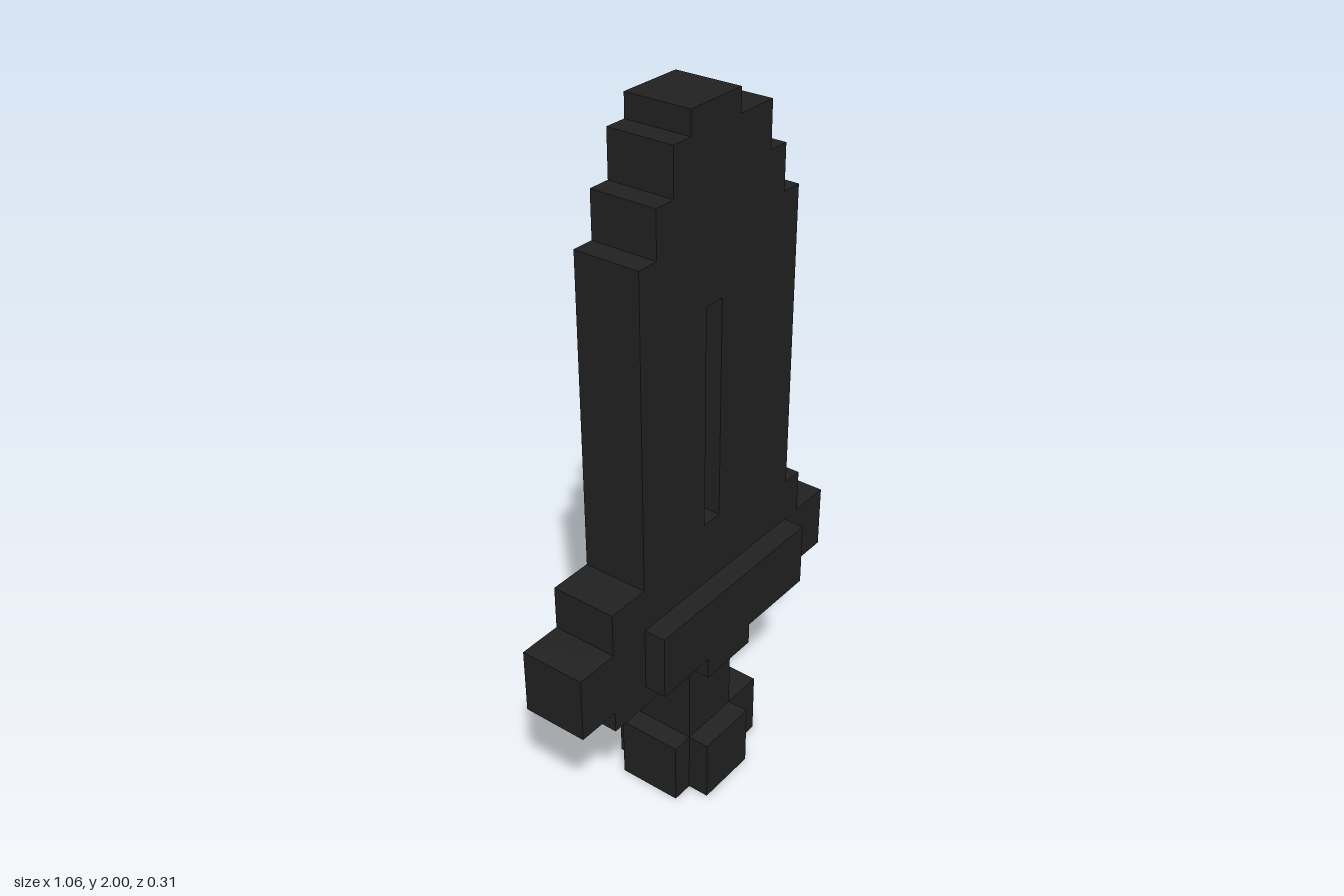
import * as THREE from 'three';

const U = 1 / 16; // block unit: the sword is 32 units tall

const black = new THREE.MeshStandardMaterial({ color: 0x222222 });
black.name = 'black';
const red = new THREE.MeshStandardMaterial({ color: 0xb8424a });
red.name = 'red';

const scaled = (points) => points.map(([x, y]) => new THREE.Vector2(x * U, y * U));

// Extrude an outline (in units), centred on its extrusion axis.
function slab(name, points, depth, hole) {
  const shape = new THREE.Shape(scaled(points));
  if (hole) shape.holes.push(new THREE.Path(scaled(hole)));
  const geometry = new THREE.ExtrudeGeometry(shape, { depth: depth * U, bevelEnabled: false });
  geometry.translate(0, 0, -depth * U / 2);
  const mesh = new THREE.Mesh(geometry, black);
  mesh.name = name;
  return mesh;
}

// Box from its minimum and maximum corners (in units).
function block(name, min, max, material = black) {
  const size = max.map((v, i) => (v - min[i]) * U);
  const mesh = new THREE.Mesh(new THREE.BoxGeometry(...size), material);
  mesh.position.set(...max.map((v, i) => (v + min[i]) * U / 2));
  mesh.name = name;
  return mesh;
}

export function createModel() {
  const sword = new THREE.Group();
  sword.name = 'sword';

  // Stepped blade with a slot, and a glowing core recessed inside it
  sword.add(slab('blade', [
    [-4.5, 13], [5.5, 13], [5.5, 27], [4.5, 27], [4.5, 29], [3.5, 29], [3.5, 31],
    [1.5, 31], [1.5, 32], [-1.5, 32], [-1.5, 31], [-2.5, 31], [-2.5, 29],
    [-3.5, 29], [-3.5, 27], [-4.5, 27],
  ], 3, [[-0.5, 14], [-0.5, 24], [0.5, 24], [0.5, 14]]));
  sword.add(block('bladeCore', [-0.5, 14, -0.5], [0.5, 24, 0.5], red));

  // Cross guard with side arms
  sword.add(slab('guard', [
    [-6.5, 7], [6.5, 7], [6.5, 8], [8.5, 8], [8.5, 11], [6.5, 11], [6.5, 13],
    [-6.5, 13], [-6.5, 11], [-8.5, 11], [-8.5, 8], [-6.5, 8],
  ], 3));

  // Raised T-shaped plates on both faces of the guard
  for (const side of [1, -1]) {
    const plate = slab(side > 0 ? 'frontGuardPlate' : 'backGuardPlate', [
      [-1.5, 7], [1.5, 7], [1.5, 8], [5.5, 8], [5.5, 11], [-4.5, 11], [-4.5, 8], [-1.5, 8],
    ], 1);
    plate.position.z = side * 2 * U;
    sword.add(plate);
  }

  sword.add(block('grip', [-1.5, 3, -1.5], [1.5, 7, 1.5]));

  // Cross-shaped pommel, extruded upwards
  const pommel = slab('pommel', [
    [-2.5, -1.5], [-1.5, -1.5], [-1.5, -2.5], [1.5, -2.5], [1.5, -1.5], [3.5, -1.5],
    [3.5, 1.5], [1.5, 1.5], [1.5, 2.5], [-1.5, 2.5], [-1.5, 1.5], [-2.5, 1.5],
  ], 3);
  pommel.rotation.x = -Math.PI / 2;
  pommel.position.y = 1.5 * U;
  sword.add(pommel);

  return sword;
}
